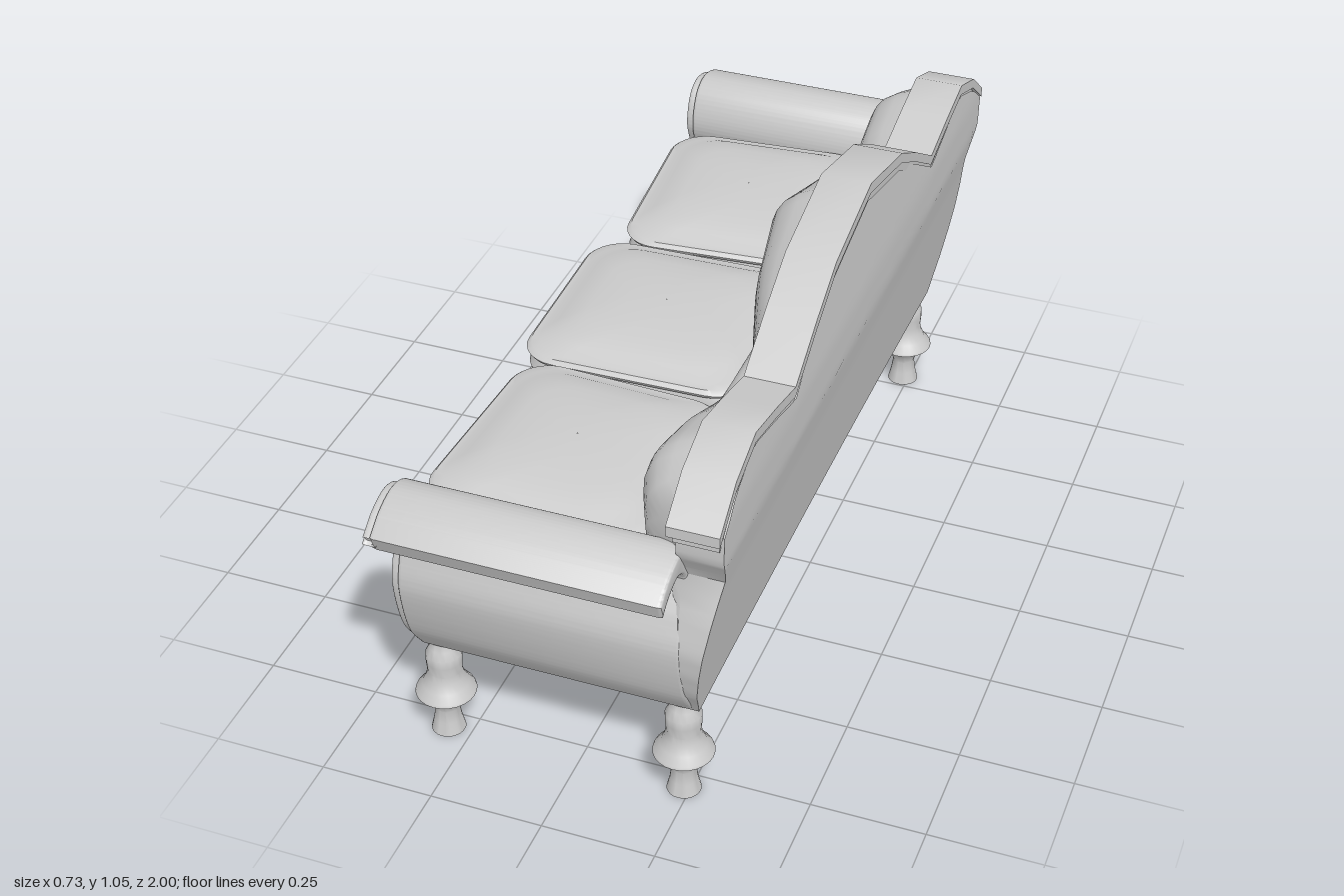
import * as THREE from 'three';
import { toCreasedNormals } from 'three/addons/utils/BufferGeometryUtils.js';

const material = new THREE.MeshStandardMaterial({ color: 0xcccccc, side: THREE.DoubleSide });

// Linear lookup in a list of [input, output] pairs
function lookup(table, v) {
  if (v <= table[0][0]) return table[0][1];
  for (let i = 1; i < table.length; i++) {
    const [a, fa] = table[i - 1], [b, fb] = table[i];
    if (v <= b) return fa + (fb - fa) * (v - a) / (b - a);
  }
  return table[table.length - 1][1];
}

// Skin a list of equally long rows of [x, y, z] points
function skin(rows, crease = 0.6) {
  const n = rows[0].length, index = [];
  for (let r = 0; r < rows.length - 1; r++) {
    for (let c = 0; c < n - 1; c++) {
      const a = r * n + c, b = a + n;
      index.push(a, b, a + 1, b, b + 1, a + 1);
    }
  }
  const g = new THREE.BufferGeometry();
  g.setAttribute('position', new THREE.Float32BufferAttribute(rows.flat(2), 3));
  g.setIndex(index);
  return toCreasedNormals(g, crease);
}

// Extrude a (z, y) shape along x from x0 to x1
function extrudeX(shape, x0, x1, bevel = 0, bevelOffset = 0) {
  const g = new THREE.ExtrudeGeometry(shape, {
    depth: x1 - x0 - 2 * bevel, bevelEnabled: bevel > 0, bevelThickness: bevel,
    bevelSize: bevel, bevelOffset, bevelSegments: 3, curveSegments: 16,
  });
  g.rotateY(-Math.PI / 2).translate(x1 - bevel, 0, 0);
  return toCreasedNormals(g, 0.6);
}

// Half width of the sofa by height, and top edge of the back by distance from the middle
const halfWidth = [[0.25, 0.82], [0.33, 0.872], [0.4, 0.893], [0.46, 0.9], [0.53, 0.885],
  [0.6, 0.852], [0.65, 0.875], [0.7, 0.898], [0.8, 0.9]];
const crest = [[0, 1.05], [0.23, 0.995], [0.35, 0.93], [0.48, 0.85], [0.6, 0.88],
  [0.72, 0.905], [0.83, 0.865], [0.92, 0.795]];

// Back panel with its padded front
function backrest() {
  const backX = [[0.25, 0.28], [0.6, 0.34], [0.7, 0.36], [0.8, 0.362], [1.05, 0.345]];
  const padAcross = [[0, 1], [0.18, 0.75], [0.36, 0.3], [0.48, 0.65], [0.6, 0.92], [0.75, 1],
    [0.82, 0.75], [0.87, 0]];
  const padUp = [[0, 0.8], [0.5, 0.9], [0.8, 1], [0.88, 0.92], [0.95, 0.65], [1, 0]];
  const rows = [], cols = 64, count = 28;
  for (let r = 0; r <= count; r++) {
    const t = r / count, w = lookup(halfWidth, 0.25 + 0.52 * t), row = [];
    const place = (s, front) => {
      const z = s * w, a = Math.abs(z);
      const bottom = 0.25 + 0.022 * (1 - s * s), top = lookup(crest, a) - 0.03;
      const y = bottom + (top - bottom) * t;
      const x = front ? 0.262 - 0.125 * lookup(padAcross, a) * lookup(padUp, t) : lookup(backX, y);
      row.push([x, y, z]);
    };
    for (let c = 0; c <= cols; c++) place(1 - 2 * c / cols, false);
    for (let c = 0; c <= cols; c++) place(-1 + 2 * c / cols, true);
    row.push(row[0]);
    rows.push(row);
  }
  return skin(rows, 0.7);
}

// One stepped layer of the crest rail
function railLayer(x0, x1, drop, thickness, end) {
  const half = crest.map(([z, y]) => [Math.min(z, end), y - drop]);
  const line = [...half.slice(1).reverse().map(([z, y]) => [-z, y]), ...half];
  const under = line.map(([z, y]) => [z, y - thickness]).reverse();
  return extrudeX(new THREE.Shape([...line, ...under].map(p => new THREE.Vector2(...p))), x0, x1);
}

// Seat base: moulded front rail, arched along the bottom
function seatBase() {
  const profile = [[0.28, 0.25], [-0.335, 0.25], [-0.345, 0.258], [-0.345, 0.283], [-0.332, 0.288],
    [-0.332, 0.3], [-0.345, 0.305], [-0.345, 0.33], [-0.325, 0.338], [-0.335, 0.37], [-0.347, 0.41],
    [-0.35, 0.45], [-0.342, 0.49], [-0.32, 0.515], [-0.28, 0.525], [0.27, 0.525], [0.28, 0.25]];
  const rows = [];
  for (let i = 0; i <= 24; i++) {
    const s = -1 + i / 12;
    rows.push(profile.map(([x, y]) => [
      x, y + 0.022 * (1 - s * s) * Math.max(0, (0.5 - y) / 0.25), s * (lookup(halfWidth, y) - 0.02)]));
  }
  return skin(rows);
}

// S-shaped arm section with an outward scrolled top; m mirrors it
function armShape(m) {
  const v = pts => pts.map(([z, y]) => new THREE.Vector2(m * z, y));
  const s = new THREE.Shape();
  s.moveTo(m * 0.82, 0.25);
  s.splineThru(v([[0.872, 0.33], [0.9, 0.45], [0.885, 0.53], [0.855, 0.6], [0.868, 0.64],
    [0.905, 0.662], [0.95, 0.65], [0.985, 0.625]]));
  s.lineTo(m * 1.0, 0.662);
  s.splineThru(v([[0.95, 0.697], [0.89, 0.713], [0.84, 0.697], [0.812, 0.655], [0.805, 0.6],
    [0.83, 0.53], [0.845, 0.45], [0.82, 0.34], [0.765, 0.25]]));
  return s;
}

// Loose seat cushion: rounded square rings with piped edges and a domed top
function cushion(w, d) {
  const rings = [[1, 0.515], [0.04, 0.512], [0.008, 0.517], [0, 0.525], [0.006, 0.534], [0.012, 0.538],
    [0.004, 0.566], [0.012, 0.594], [0.004, 0.598], [0, 0.606], [0.008, 0.615], [0.022, 0.616],
    [0.05, 0.632], [0.1, 0.644], [0.17, 0.651], [1, 0.654]];
  const rect = (inset) => {
    const hw = Math.max(w / 2 - inset, 0.001), hd = Math.max(d / 2 - inset, 0.001);
    const r = Math.min(0.085, hw, hd), pts = [];
    for (let q = 0; q < 4; q++) {
      const sx = q === 0 || q === 3 ? 1 : -1, sz = q < 2 ? 1 : -1;
      for (let i = 0; i <= 7; i++) {
        const a = (q + i / 7) * Math.PI / 2;
        pts.push([sx * (hw - r) + r * Math.cos(a), sz * (hd - r) + r * Math.sin(a)]);
      }
    }
    pts.push(pts[0]);
    return pts;
  };
  return skin(rings.map(([inset, y]) => rect(inset).map(([x, z]) => [x, y, z])), 0.7);
}

// Turned leg
function leg() {
  const p = [[0, 0], [0.037, 0], [0.03, 0.03], [0.026, 0.06], [0.034, 0.082], [0.05, 0.097],
    [0.066, 0.106], [0.064, 0.112], [0.05, 0.128], [0.041, 0.148], [0.037, 0.165], [0.039, 0.19],
    [0.039, 0.21], [0.03, 0.228], [0.025, 0.245], [0.025, 0.27]];
  return toCreasedNormals(new THREE.LatheGeometry(p.map(q => new THREE.Vector2(...q)), 24), 0.6);
}

export function createModel() {
  const model = new THREE.Group();
  model.name = 'sofa';
  const add = (name, geometry, x = 0, y = 0, z = 0, turn = 0) => {
    const mesh = new THREE.Mesh(geometry, material);
    mesh.name = name;
    mesh.position.set(x, y, z);
    mesh.rotation.y = turn;
    model.add(mesh);
  };

  add('seatBase', seatBase());
  add('backrest', backrest());
  add('crestRail', railLayer(0.25, 0.36, 0, 0.024, 0.92));
  add('crestRailMoulding', railLayer(0.258, 0.354, 0.024, 0.022, 0.905));

  // Arms, each with a raised facing on the front end
  for (const m of [1, -1]) {
    add('arm', extrudeX(armShape(m), -0.342, 0.27, 0.008, -0.008));
    add('armFacing', extrudeX(armShape(m), -0.36, -0.33, 0.006, -0.016));
  }

  // Seat cushions, the outer two slightly turned
  add('middleCushion', cushion(0.52, 0.51), -0.1, 0, 0.002, 0.02);
  add('outerCushion', cushion(0.49, 0.52), -0.095, 0, 0.53, -0.05);
  add('outerCushion', cushion(0.49, 0.52), -0.095, 0, -0.53, 0.08);

  // Legs
  for (const x of [-0.305, 0.235]) for (const z of [-0.79, 0.79]) add('leg', leg(), x, 0, z);

  return model;
}
